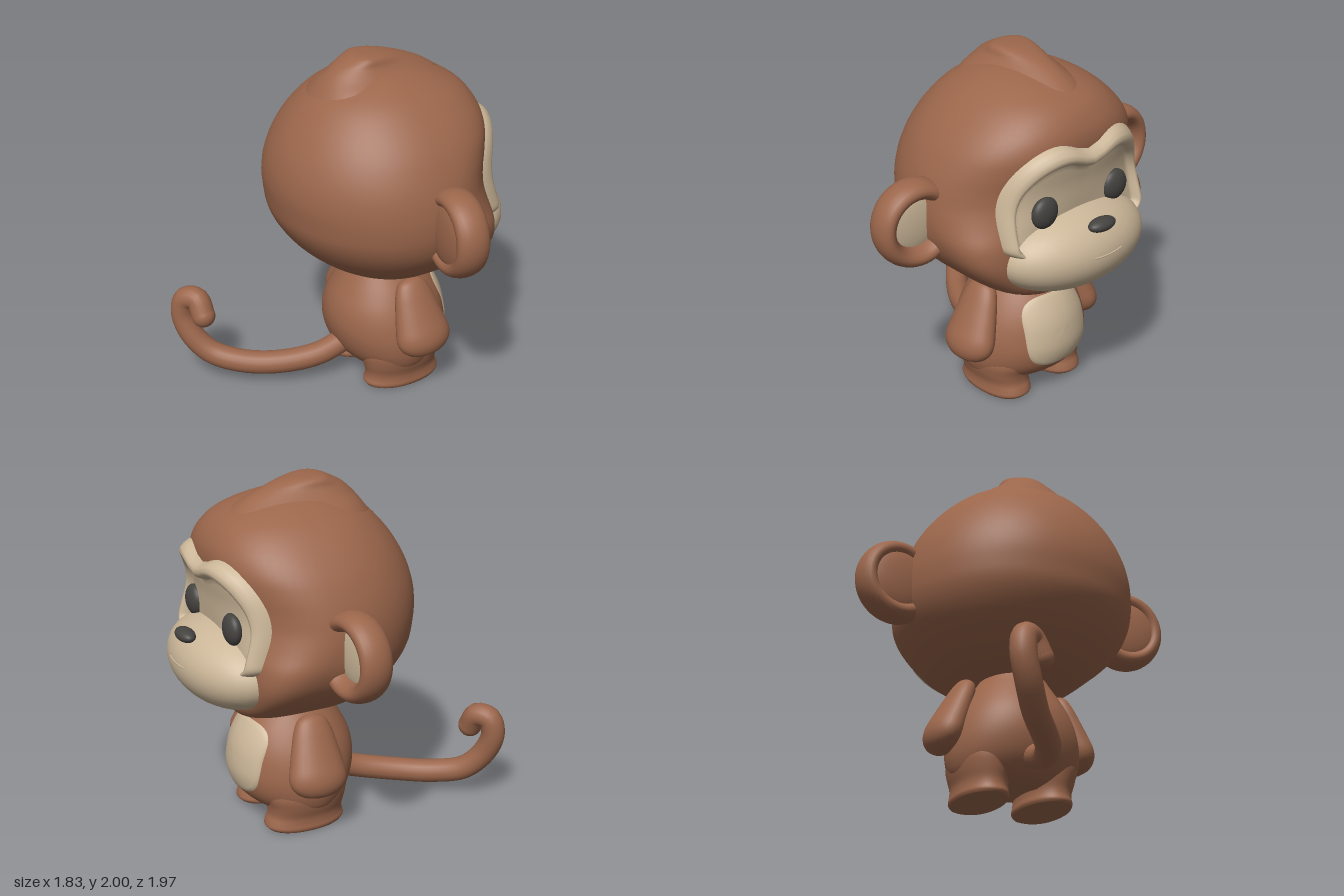
import * as THREE from 'three';

const mat = (name, color) => {
  const m = new THREE.MeshStandardMaterial({ color });
  m.name = name;
  return m;
};
const spow = (v, p) => Math.sign(v) * Math.abs(v) ** p;

// Smooth surface from closed loops of points
function loops(rows) {
  const n = rows[0].length, idx = [];
  for (let j = 0; j < rows.length - 1; j++) {
    for (let i = 0; i < n; i++) {
      const a = j * n + i, b = j * n + (i + 1) % n;
      idx.push(a, a + n, b, b, a + n, b + n);
    }
  }
  const g = new THREE.BufferGeometry();
  g.setAttribute('position', new THREE.Float32BufferAttribute(rows.flat(2), 3));
  g.setIndex(idx);
  g.computeVertexNormals();
  return g;
}

// Spline rows in between the given section rows
function refine(table, k = 4) {
  const out = [], last = table.length - 1;
  for (let j = 0; j < last; j++) {
    const [p, a, b, q] = [Math.max(0, j - 1), j, j + 1, Math.min(last, j + 2)].map((i) => table[i]);
    for (let s = 0; s < k; s++) {
      const t = s / k;
      out.push(a.map((v, c) => v + 0.5 * t * (b[c] - p[c] + t * (2 * p[c] - 5 * v + 4 * b[c] - q[c]
        + t * (3 * (v - b[c]) + q[c] - p[c])))));
    }
  }
  return [...out, table[last]];
}

// Stacked sections, each row: [y, half width z, back x, front x, squareness of the front]
function loft(table, cx, seg = 64) {
  const rows = table.map(([y, w, back, front, power]) => Array.from({ length: seg }, (_, i) => {
    const a = i / seg * Math.PI * 2, c = Math.cos(a), s = Math.sin(a);
    const p = 2 / (c > 0 ? power : 2);
    return [cx + spow(c, p) * (c > 0 ? front - cx : cx - back), y, w * spow(s, p)];
  }));
  const cap = (r) => r.map(() => [cx, r[0][1], 0]);
  return loops([cap(rows[0]), ...rows, cap(rows[rows.length - 1])]);
}

// Front x of a lofted surface at (y, z)
function frontOf(table, cx) {
  return (y, z) => {
    let k = 0;
    while (k < table.length - 2 && table[k + 1][0] < y) k++;
    const t = THREE.MathUtils.clamp((y - table[k][0]) / (table[k + 1][0] - table[k][0]), 0, 1);
    const [, w, , front, power] = table[k].map((v, c) => v + (table[k + 1][c] - v) * t);
    const q = Math.max(0, 1 - Math.abs(z / w) ** power);
    return cx + (front - cx) * q ** (1 / power);
  };
}

// Patch hugging a front surface; rings: [scale, lift], narrowing less in z than in y
function patch(outline, cy, rings, front, seg = 96) {
  return loops(rings.map(([s, lift]) => Array.from({ length: seg }, (_, i) => {
    const [z, y] = outline(i / seg * Math.PI * 2);
    const yy = cy + (y - cy) * s, zz = z * s ** 0.6;
    return [front(yy, zz) + lift, yy, zz];
  })));
}

const HEAD = refine([
  [0.70, 0.08, 0.15, 0.42, 3], [0.71, 0.18, 0.09, 0.53, 3.4], [0.74, 0.3, -0.02, 0.625, 4], [0.8, 0.43, -0.16, 0.658, 4.6],
  [0.9, 0.555, -0.29, 0.665, 5], [1.0, 0.635, -0.375, 0.668, 5], [1.1, 0.677, -0.43, 0.67, 4.2], [1.2, 0.69, -0.45, 0.68, 2.9],
  [1.3, 0.685, -0.46, 0.69, 2.3], [1.4, 0.665, -0.45, 0.7, 2.2], [1.5, 0.628, -0.42, 0.72, 2.3], [1.6, 0.575, -0.37, 0.735, 2.4],
  [1.7, 0.497, -0.3, 0.715, 2.4], [1.8, 0.388, -0.2, 0.64, 2.3], [1.87, 0.265, -0.07, 0.5, 2.2], [1.91, 0.15, 0.05, 0.36, 2], [1.922, 0.05, 0.14, 0.26, 2],
]);
const BODY = refine([
  [0.08, 0.2, 0.08, 0.38, 2], [0.12, 0.33, 0, 0.48, 2], [0.2, 0.375, -0.07, 0.56, 2], [0.3, 0.385, -0.11, 0.595, 2],
  [0.4, 0.37, -0.12, 0.592, 2], [0.5, 0.335, -0.1, 0.57, 2], [0.6, 0.28, -0.05, 0.52, 2], [0.7, 0.21, 0.01, 0.44, 2], [0.76, 0.18, 0.04, 0.4, 2],
]);
const CREST = refine([
  [1.72, 0.36, -0.26, 0.66, 2], [1.83, 0.27, -0.18, 0.58, 2], [1.89, 0.185, -0.13, 0.5, 2], [1.94, 0.135, -0.075, 0.4, 2],
  [1.975, 0.12, -0.01, 0.3, 2], [1.993, 0.1, 0.03, 0.22, 2], [2.0, 0.05, 0.07, 0.15, 2],
]);
const LEG = refine([
  [0, 0.135, 0.01, 0.465, 2.3], [0.02, 0.143, 0, 0.482, 2.3], [0.05, 0.14, 0.01, 0.475, 2.3],
  [0.09, 0.142, 0.01, 0.46, 2.3], [0.15, 0.16, -0.005, 0.465, 2.3], [0.22, 0.17, -0.015, 0.485, 2.2], [0.3, 0.15, 0, 0.47, 2], [0.37, 0.08, 0.08, 0.38, 2],
]);

export function createModel() {
  const model = new THREE.Group();
  model.name = 'monkey';
  const brown = mat('brown fur', 0x9b664b);
  const cream = mat('cream skin', 0xcbb698);
  const dark = mat('dark grey', 0x454340);

  const add = (parent, name, geo, material, pos = [0, 0, 0], scale = [1, 1, 1]) => {
    const m = new THREE.Mesh(geo, material);
    m.name = name;
    m.position.set(...pos);
    m.scale.set(...scale);
    parent.add(m);
    return m;
  };
  const ball = new THREE.SphereGeometry(1, 40, 28);

  // Head and hair tuft
  add(model, 'head', loft(HEAD, 0.2), brown);
  add(model, 'hairTuft', loft(CREST, 0.1), brown, [0, 0, -0.025]);

  // Heart-shaped face with a wide raised rim around the sunken eye area
  const maskOutline = (t) => {
    const z = 0.5 * spow(Math.cos(t), 2 / 2.8), s = Math.sin(t);
    const dip = s > 0 ? 0.085 * Math.exp(-((z / 0.14) ** 2)) : 0;
    return [z, 1.15 + (s > 0 ? 0.52 : 0.12) * spow(s, 2 / 2.8) - dip];
  };
  const rim = [[1.01, -0.03], [1, 0.01], [0.97, 0.035], [0.93, 0.057], [0.88, 0.066], [0.835, 0.06], [0.8, 0.042], [0.78, 0.022], [0.77, 0.012]];
  for (let i = 1; i <= 12; i++) rim.push([0.77 * (1 - i / 12), 0.012]);
  add(model, 'faceMask', patch(maskOutline, 1.15, rim, frontOf(HEAD, 0.2)), cream);

  // Muzzle, nose and mouth
  add(model, 'muzzle', ball, cream, [0.6, 1.012, 0], [0.31, 0.245, 0.487]);
  add(model, 'nose', ball, dark, [0.85, 1.19, 0], [0.05, 0.037, 0.09]);
  const lip = [-0.1, -0.06, 0, 0.06, 0.1].map((z) =>
    new THREE.Vector3(0.6 + 0.31 * Math.sqrt(1 - (z / 0.487) ** 2) - 0.002, 1.033 + 0.6 * z * z, z));
  add(model, 'mouth', new THREE.TubeGeometry(new THREE.CatmullRomCurve3(lip), 16, 0.005, 8), cream);

  // Body and belly patch
  add(model, 'body', loft(BODY, 0.22), brown);
  const bellyOutline = (t) => [0.22 * spow(Math.cos(t), 2 / 3.2), 0.423 + 0.208 * spow(Math.sin(t), 2 / 3.2)];
  const belly = [[1.005, -0.01]];
  for (let i = 0; i <= 10; i++) belly.push([1 - i / 10, 0.007]);
  add(model, 'bellyPatch', patch(bellyOutline, 0.423, belly, frontOf(BODY, 0.22)), cream);

  // Paired parts, mirrored across z
  const armProfile = new THREE.SplineCurve([[0, 0], [0.09, 0.015], [0.15, 0.06], [0.17, 0.12], [0.157, 0.2], [0.132, 0.31],
    [0.11, 0.39], [0.075, 0.45], [0, 0.48]].map((p) => new THREE.Vector2(...p))).getPoints(32);
  armProfile.forEach((p) => { p.x = Math.max(0, p.x); });
  const armGeo = new THREE.LatheGeometry(armProfile, 32);
  const ringGeo = new THREE.TorusGeometry(0.187, 0.054, 20, 48).rotateY(Math.PI / 2);
  const legGeo = loft(LEG, 0.23);
  for (const side of [1, -1]) {
    const half = new THREE.Group();
    half.name = side > 0 ? 'rightSide' : 'leftSide';
    half.scale.z = side;
    model.add(half);

    add(half, 'eye', ball, dark, [0.685, 1.28, 0.257], [0.047, 0.088, 0.085]);

    // Dished ear, swept back at the outer edge
    const ear = new THREE.Group();
    ear.name = 'ear';
    ear.position.set(0.215, 1.215, 0.745);
    ear.rotation.y = -0.11;
    half.add(ear);
    add(ear, 'earRim', ringGeo, brown, [0, 0, 0], [1.75, 1.02, 1]);
    add(ear, 'earBack', ball, brown, [-0.04, 0, 0], [0.06, 0.2, 0.2]);
    add(ear, 'earInner', ball, cream, [-0.015, 0, 0], [0.045, 0.18, 0.18]);

    const arm = add(half, 'arm', armGeo, brown, [0.265, 0.265, 0.45], [1, 1, 0.6]);
    arm.rotation.set(-0.38, 0, 0.06);

    add(half, 'leg', legGeo, brown, [0, 0, 0.195]);
  }

  // Curled tail with rounded tip
  const path = [[0, 0.23, 0], [-0.2, 0.165, -0.02], [-0.42, 0.13, -0.11], [-0.6, 0.13, -0.23], [-0.74, 0.175, -0.35],
    [-0.825, 0.29, -0.43], [-0.853, 0.42, -0.472], [-0.835, 0.515, -0.455], [-0.79, 0.525, -0.395], [-0.78, 0.44, -0.34]]
    .map((p) => new THREE.Vector3(...p));
  add(model, 'tail', new THREE.TubeGeometry(new THREE.CatmullRomCurve3(path), 72, 0.069, 20), brown);
  add(model, 'tailTip', ball, brown, path[path.length - 1].toArray(), [0.069, 0.069, 0.069]);

  return model;
}
